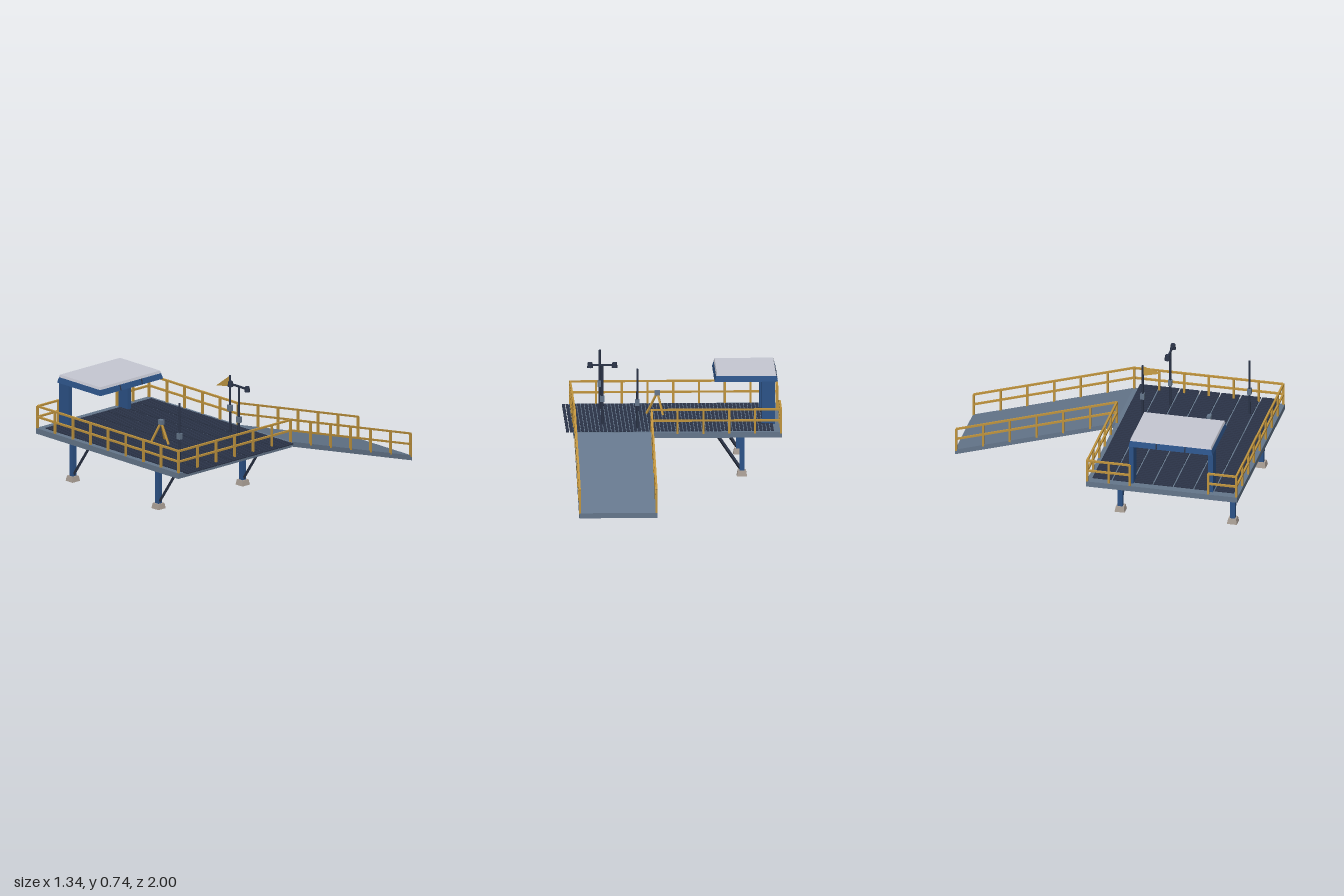
import * as THREE from 'three';
import { mergeGeometries } from 'three/addons/utils/BufferGeometryUtils.js';

const mat = (name, color) => {
  const m = new THREE.MeshStandardMaterial({ color });
  m.name = name;
  return m;
};

// Box given by its centre and size
const box = (x, y, z, w, h, d) => new THREE.BoxGeometry(w, h, d).translate(x, y, z);

// Box whose top is scaled inwards
function taperedBox(x, y, z, w, h, d, sx, sz) {
  const g = new THREE.BoxGeometry(w, h, d);
  const p = g.attributes.position;
  for (let i = 0; i < p.count; i++) {
    if (p.getY(i) > 0) p.setXYZ(i, p.getX(i) * sx, p.getY(i), p.getZ(i) * sz);
  }
  g.computeVertexNormals();
  return g.translate(x, y, z);
}

// Square bar between two points
function beam(a, b, w) {
  const A = new THREE.Vector3(...a), B = new THREE.Vector3(...b);
  const dir = B.clone().sub(A);
  const q = new THREE.Quaternion().setFromUnitVectors(new THREE.Vector3(0, 0, 1), dir.clone().normalize());
  const mid = A.add(B).multiplyScalar(0.5);
  return new THREE.BoxGeometry(w, w, dir.length()).applyQuaternion(q).translate(mid.x, mid.y, mid.z);
}

// Railing with evenly spaced posts; points lie at floor level
function railing(a, b, segments) {
  const parts = [];
  const up = (p, h) => [p[0], p[1] + h, p[2]];
  for (const h of [0.073, 0.142]) parts.push(beam(up(a, h), up(b, h), 0.012));
  for (let i = 0; i <= segments; i++) {
    const p = a.map((v, k) => v + (b[k] - v) * i / segments);
    parts.push(beam(up(p, -0.01), up(p, 0.142), 0.013));
  }
  return mergeGeometries(parts);
}

export function createModel() {
  const steel = mat('steel grey blue', 0x65778c);
  const navy = mat('dark navy', 0x2b3448);
  const blue = mat('blue paint', 0x2c5388);
  const gold = mat('safety yellow', 0xc0943e);
  const white = mat('pale roof', 0xc6c8d3);
  const concrete = mat('concrete', 0xa89d94);
  const flagMat = mat('flag yellow', 0xc99f45);
  flagMat.side = THREE.DoubleSide;

  const model = new THREE.Group();
  const add = (name, geometry, material) => {
    const m = new THREE.Mesh(geometry, material);
    m.name = name;
    model.add(m);
  };
  const top = 0.345, xL = -0.667, xR = 0.617, zF = 0.99, zB = 0.037, rampX = 0.139;

  // Deck slab
  add('deck', box(-0.025, 0.327, 0.515, 1.298, 0.036, 0.966), steel);

  // Grating: rows of narrow slats, overhanging one side
  const slats = [];
  for (let r = 0; r < 7; r++) {
    const z = 0.121 + r * 0.1303;
    for (let i = 0; i < 55; i++) slats.push(box(-0.614 + i * 0.0236, 0.347, z, 0.0185, 0.007, 0.121));
  }
  add('grating', mergeGeometries(slats), navy);

  // Sloping ramp: a slab sheared downwards to the back
  const ramp = new THREE.BoxGeometry(0.486, 0.032, 1.03).translate(0.378, 0, -0.482);
  const rp = ramp.attributes.position;
  const rampTop = z => top - (0.033 - z) * 0.302;
  for (let i = 0; i < rp.count; i++) rp.setY(i, rp.getY(i) + rampTop(rp.getZ(i)) - 0.016);
  ramp.computeVertexNormals();
  add('ramp', ramp, steel);

  // Railings around the deck and along the ramp
  add('frontRailing', railing([xL, top, zF], [xR, top, zF], 8), gold);
  add('leftRailing', railing([xR, top, zF], [xR, top, zB], 6), gold);
  add('backRailing', railing([xL, top, zB], [rampX, top, zB], 5), gold);
  add('rightRailingFront', railing([xL, top, zF], [xL, top, 0.81], 1), gold);
  add('rightRailingBack', railing([xL, top, 0.31], [xL, top, zB], 2), gold);
  for (const x of [rampX, xR]) {
    add('rampRailing', railing([x, rampTop(zB), zB], [x, rampTop(-0.99), -0.99], 6), gold);
  }

  // Support legs with feet and diagonal braces
  for (const x of [-0.428, 0.352]) {
    for (const z of [0.913, 0.195]) {
      add('leg', box(x, 0.19, z, 0.031, 0.24, 0.031), blue);
      add('foot', taperedBox(x, 0.056, z, 0.064, 0.034, 0.064, 0.8, 0.8), concrete);
      add('brace', beam([x + 0.01, 0.085, z], [x + 0.165, 0.312, z], 0.016), navy);
    }
  }

  // Shelter: two end columns, canopy with seams, roof panel and lamp
  for (const z of [0.818, 0.311]) add('shelterColumn', box(-0.596, 0.478, z, 0.082, 0.27, 0.03), blue);
  const cx = -0.459, cz = 0.566;
  add('canopy', taperedBox(cx, 0.629, cz, 0.394, 0.036, 0.536, 0.95, 0.97), blue);
  add('roofPanel', taperedBox(cx, 0.655, cz, 0.376, 0.016, 0.522, 0.97, 0.98), white);
  for (const z of [0.475, 0.658]) add('canopySeam', taperedBox(cx, 0.629, z, 0.397, 0.035, 0.008, 0.95, 1), navy);
  add('shelterLamp', box(-0.45, 0.607, cz, 0.02, 0.012, 0.19), navy);

  // Masts with junction boxes
  for (const [x, z] of [[0.223, 0.182], [0.438, 0.815], [0.438, 0.308]]) {
    add('mast', new THREE.CylinderGeometry(0.007, 0.008, 0.375, 10).translate(x, 0.5325, z), navy);
    add('junctionBox', box(x, 0.507, z, 0.028, 0.038, 0.024), steel);
  }

  // Pennant on the back mast
  const pennant = new THREE.Shape([[0, 0.716], [0, 0.65], [-0.115, 0.678]].map(p => new THREE.Vector2(...p)));
  add('pennant', new THREE.ShapeGeometry(pennant).rotateY(Math.PI / 2).translate(0.223, 0, 0.188), flagMat);

  // Wind sensor crossarm and cups
  add('sensorArm', beam([0.365, 0.722, 0.308], [0.511, 0.722, 0.308], 0.011), navy);
  for (const x of [0.361, 0.514]) {
    add('sensorCup', new THREE.CylinderGeometry(0.014, 0.019, 0.034, 12).translate(x, 0.722, 0.308), navy);
  }

  // Survey tripod
  const tx = 0.085, tz = 0.64;
  for (let i = 0; i < 3; i++) {
    const a = i * Math.PI * 2 / 3;
    const c = Math.cos(a), s = Math.sin(a);
    add('tripodLeg', beam([tx + 0.006 * c, 0.47, tz + 0.006 * s], [tx + 0.068 * c, 0.348, tz + 0.068 * s], 0.011), gold);
  }
  add('tripodHead', box(tx, 0.481, tz, 0.034, 0.03, 0.026), steel);
  return model;
}
